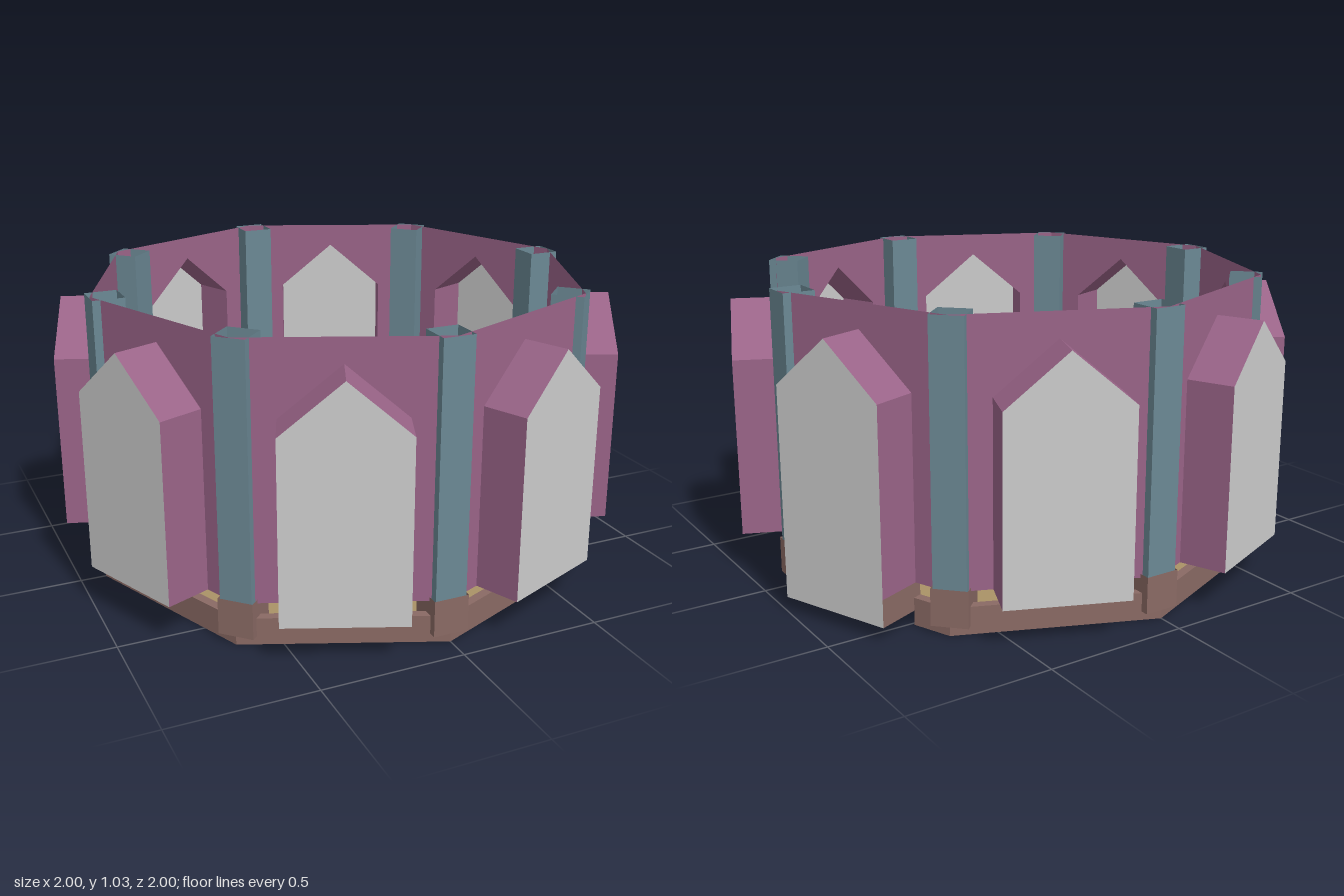
import * as THREE from 'three';

const mat = (color) => new THREE.MeshStandardMaterial({ color, flatShading: true, side: THREE.DoubleSide });
const purple = mat(0x9a6488), teal = mat(0x6b8894), tan = mat(0xaa9266), slate = mat(0x667369);
const brown = mat(0x8a6a64), green = mat(0x70ae70), pink = mat(0xb09488), grey = mat(0xcccccc);

const C = Math.cos(Math.PI / 8), T = Math.tan(Math.PI / 8);
const WALL = 0.9 * C;            // distance from centre to each wall
const FRONT = 0.995;             // distance from centre to each bay window
const HALF = 0.206, SPRING = 0.775, PEAK = 0.95, SILL = 0.145, TOP = 1.035, FLOOR = 0.05;

function add(parent, name, geometry, material, x = 0, y = 0, z = 0) {
  const mesh = new THREE.Mesh(geometry, material);
  mesh.name = name;
  mesh.position.set(x, y, z);
  parent.add(mesh);
  return mesh;
}

// eight-sided ring surface from [radius, height] pairs
const octagon = (...pts) => new THREE.LatheGeometry(pts.map(([r, y]) => new THREE.Vector2(r, y)), 8);

// gabled outline of a bay
const gable = (bottom) => [[-HALF, bottom], [HALF, bottom], [HALF, SPRING], [0, PEAK], [-HALF, SPRING]]
  .map(([x, y]) => new THREE.Vector2(x, y));

// sheet swept straight from the wall to the window along an open outline
function sweep(points, z0, z1) {
  const pos = [], index = [];
  points.forEach((p, i) => {
    pos.push(p.x, p.y, z0, p.x, p.y, z1);
    if (i) index.push(2 * i - 2, 2 * i, 2 * i - 1, 2 * i - 1, 2 * i, 2 * i + 1);
  });
  const g = new THREE.BufferGeometry();
  g.setAttribute('position', new THREE.Float32BufferAttribute(pos, 3));
  g.setIndex(index);
  const flat = g.toNonIndexed();
  flat.computeVertexNormals();
  return flat;
}

// block of rim: outline on the ground plan, raised from the floor to the sill
function rimPiece(points) {
  const shape = new THREE.Shape(points.map(([x, z]) => new THREE.Vector2(x, -z)));
  return new THREE.ExtrudeGeometry(shape, { depth: SILL - FLOOR, bevelEnabled: false }).rotateX(-Math.PI / 2);
}

function makeSide(isDoor) {
  const side = new THREE.Group();
  side.name = isDoor ? 'doorSide' : 'windowSide';

  // wall with a gabled opening
  const w = WALL * T;
  const wall = new THREE.Shape();
  [[-w, SILL], [-HALF, SILL], [-HALF, SPRING], [0, PEAK], [HALF, SPRING], [HALF, SILL], [w, SILL], [w, TOP], [-w, TOP]]
    .forEach(([x, y], i) => (i ? wall.lineTo(x, y) : wall.moveTo(x, y)));
  add(side, 'wall', new THREE.ShapeGeometry(wall), purple, 0, 0, WALL);

  // bay cheeks and roof, with the pale panel closing it
  const g = gable(SILL);
  add(side, 'bay', sweep([g[1], g[2], g[3], g[4], g[0]], WALL, FRONT), purple);
  const panel = new THREE.Shape(gable(isDoor ? FLOOR : SILL));
  add(side, isDoor ? 'door' : 'window', new THREE.ShapeGeometry(panel), grey, 0, 0, FRONT);

  // rim below the wall, open at the door
  const ro = 0.91 * C, ri = 0.875 * C;
  if (isDoor) {
    for (const s of [-1, 1]) {
      add(side, 'rim', rimPiece([[s * HALF, ri], [s * ri * T, ri], [s * ro * T, ro], [s * HALF, ro]]), brown);
      const cheek = new THREE.PlaneGeometry(FRONT - ri, SILL - FLOOR).rotateY(Math.PI / 2);
      add(side, 'doorCheek', cheek, brown, s * HALF, (SILL + FLOOR) / 2, (FRONT + ri) / 2);
    }
  } else {
    add(side, 'rim', rimPiece([[-ri * T, ri], [ri * T, ri], [ro * T, ro], [-ro * T, ro]]), brown);
  }
  const ledge = new THREE.PlaneGeometry(2 * HALF, FRONT - ri).rotateX(-Math.PI / 2);
  add(side, isDoor ? 'threshold' : 'sill', ledge, brown, 0, isDoor ? FLOOR : SILL, (FRONT + ri) / 2);
  return side;
}

// open square tube
const tube = (size, y0, y1) => new THREE.CylinderGeometry(size / Math.SQRT2, size / Math.SQRT2, y1 - y0, 4, 1, true)
  .rotateY(Math.PI / 4).translate(0, (y0 + y1) / 2, 0);

function makePillar() {
  const pillar = new THREE.Group();
  pillar.name = 'pillar';
  add(pillar, 'shaft', tube(0.112, 0.15, TOP), teal, 0, 0, 0.849);
  add(pillar, 'foot', tube(0.124, 0.03, 0.158), brown, 0, 0, 0.849);
  return pillar;
}

export function createModel() {
  const model = new THREE.Group();
  model.name = 'octagonalRoom';

  for (let k = 0; k < 8; k++) {
    const side = makeSide(k === 2);
    side.rotation.y = (k + 0.5) * Math.PI / 4;
    const pillar = makePillar();
    pillar.rotation.y = k * Math.PI / 4;
    model.add(side, pillar);
  }

  // stepped floor with a sunken middle
  add(model, 'outerFloor', octagon([0.9, FLOOR], [0.67, FLOOR]), tan);
  add(model, 'floorStep', octagon([0.67, FLOOR], [0.66, 0.035], [0.56, 0.01]), slate);
  add(model, 'innerFloor', octagon([0.56, 0.01], [0.28, 0.01], [0.28, 0], [0.12, 0]), tan);

  // low console in the middle
  add(model, 'consolePlinth', octagon([0.28, 0.01], [0.28, 0.03], [0.25, 0.03], [0.25, 0.05], [0.1, 0.05]), slate);
  add(model, 'consolePlinthUnderside', octagon([0.12, 0.002], [0, 0.002]), slate);
  add(model, 'consoleStem', octagon([0.12, 0.05], [0.1, 0.25], [0.2, 0.3]), slate);
  add(model, 'consoleEdge', octagon([0.2, 0.3], [0.2, 0.32], [0.19, 0.325]), green);
  add(model, 'consolePanels', octagon([0.19, 0.325], [0.14, 0.36]), grey);
  add(model, 'consoleCollar', octagon([0.14, 0.36], [0.14, 0.375], [0.1, 0.375]), green);
  add(model, 'consoleColumn', octagon([0.1, 0.375], [0.1, 0.45], [0, 0.45]), pink);
  return model;
}
